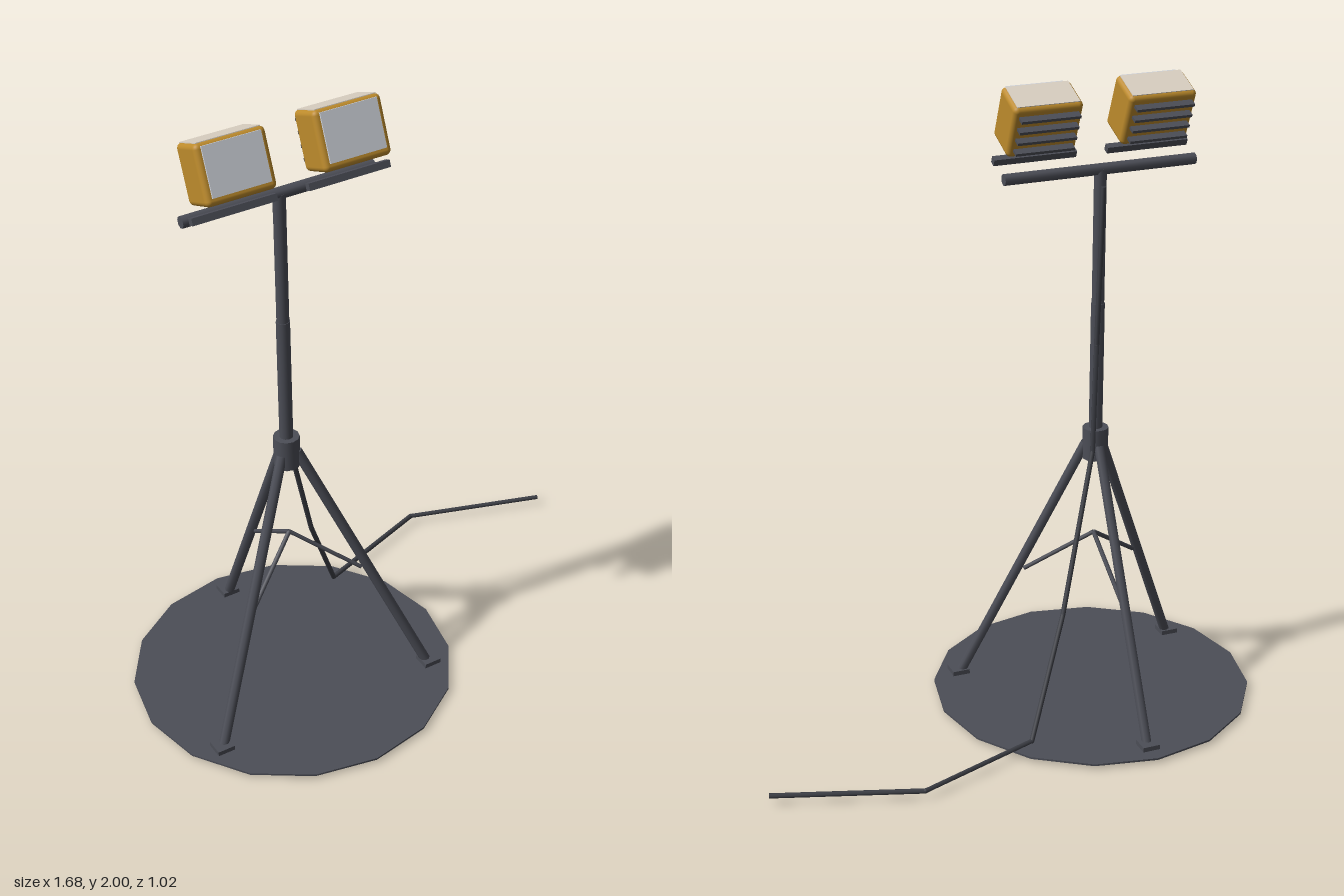
import * as THREE from 'three';
import { RoundedBoxGeometry } from 'three/addons/geometries/RoundedBoxGeometry.js';

const mat = (name, color) => {
  const m = new THREE.MeshStandardMaterial({ color });
  m.name = name;
  return m;
};

export function createModel() {
  const metal = mat('dark grey metal', 0x4c4e57);
  const rubber = mat('cable rubber', 0x3e4047);
  const amber = mat('amber housing', 0xbd8b2c);
  const glass = mat('pale lens', 0xd0d4dc);
  const cream = mat('cream cover', 0xdcd2c4);

  const model = new THREE.Group();
  model.name = 'workLight';
  const stand = new THREE.Group();
  stand.name = 'stand';
  stand.position.x = -0.333;
  model.add(stand);

  const add = (parent, name, geometry, material, x = 0, y = 0, z = 0) => {
    const mesh = new THREE.Mesh(geometry, material);
    mesh.name = name;
    mesh.position.set(x, y, z);
    parent.add(mesh);
    return mesh;
  };
  const V = (x, y, z) => new THREE.Vector3(x, y, z);
  // Straight round bar between two points
  const rod = (parent, name, a, b, r, material, sides = 8) => {
    const dir = b.clone().sub(a);
    const mesh = add(parent, name, new THREE.CylinderGeometry(r, r, dir.length(), sides), material);
    mesh.position.copy(a).add(b).multiplyScalar(0.5);
    mesh.quaternion.setFromUnitVectors(V(0, 1, 0), dir.normalize());
    return mesh;
  };

  // Ground disc
  add(stand, 'groundDisc', new THREE.CylinderGeometry(0.508, 0.508, 0.006, 16), metal, 0, 0.014, 0);

  // Mast, collar and crossbar
  rod(stand, 'lowerMast', V(0, 0.85, 0), V(0, 1.32, 0), 0.021, metal, 10);
  rod(stand, 'upperMast', V(0, 1.32, 0), V(0, 1.74, 0), 0.019, metal, 10);
  rod(stand, 'collar', V(0, 0.813, 0), V(0, 0.915, 0), 0.04, metal, 12);
  rod(stand, 'crossbar', V(-0.307, 1.738, 0), V(0.307, 1.738, 0), 0.018, metal, 8);

  // Three legs with foot pads and struts, one straight back
  for (let i = 0; i < 3; i++) {
    const a = -Math.PI / 2 + (i * Math.PI * 2) / 3;
    const at = (r, y) => V(Math.cos(a) * r, y, Math.sin(a) * r);
    rod(stand, 'leg', at(0.03, 0.86), at(0.432, 0.008), 0.016, metal);
    rod(stand, 'strut', at(0, 0.555), at(0.22, 0.41), 0.007, metal, 6);
    const p = at(0.434, 0.024);
    add(stand, 'footPad', new THREE.BoxGeometry(0.056, 0.016, 0.056), metal, p.x, p.y, p.z);
  }

  // Two floodlights, leaning back
  for (const side of [-1, 1]) {
    const lamp = new THREE.Group();
    lamp.name = side < 0 ? 'rightLamp' : 'leftLamp';
    lamp.position.set(side * 0.181, 1.896, 0.044);
    lamp.rotation.x = -0.39;
    stand.add(lamp);
    add(lamp, 'housing', new RoundedBoxGeometry(0.217, 0.174, 0.122, 3, 0.016), amber);
    add(lamp, 'lens', new THREE.BoxGeometry(0.18, 0.142, 0.009), glass, 0, 0.007, 0.062);
    add(lamp, 'topCover', new THREE.BoxGeometry(0.196, 0.004, 0.1), cream, 0, 0.0865, 0);
    for (let i = 0; i < 4; i++) {
      add(lamp, 'coolingFin', new THREE.BoxGeometry(0.185, 0.009, 0.03), metal, 0, 0.057 - i * 0.038, -0.07);
    }
    add(lamp, 'mountingBar', new THREE.BoxGeometry(0.262, 0.021, 0.021), metal, 0, -0.122, -0.02);
  }

  // Power cable, down the mast and out along the ground
  const path = [
    V(-0.333, 1.69, -0.024), V(-0.315, 1.2, -0.036), V(-0.298, 0.86, -0.058),
    V(-0.155, 0.38, -0.175), V(-0.005, 0.03, -0.293), V(0.395, 0.03, -0.436), V(0.833, 0.03, -0.291),
  ];
  for (let i = 1; i < path.length; i++) {
    rod(model, 'cable', path[i - 1], path[i], 0.008, rubber, 6);
    if (i < path.length - 1) {
      const p = path[i];
      add(model, 'cableBend', new THREE.SphereGeometry(0.008, 8, 6), rubber, p.x, p.y, p.z);
    }
  }
  return model;
}
